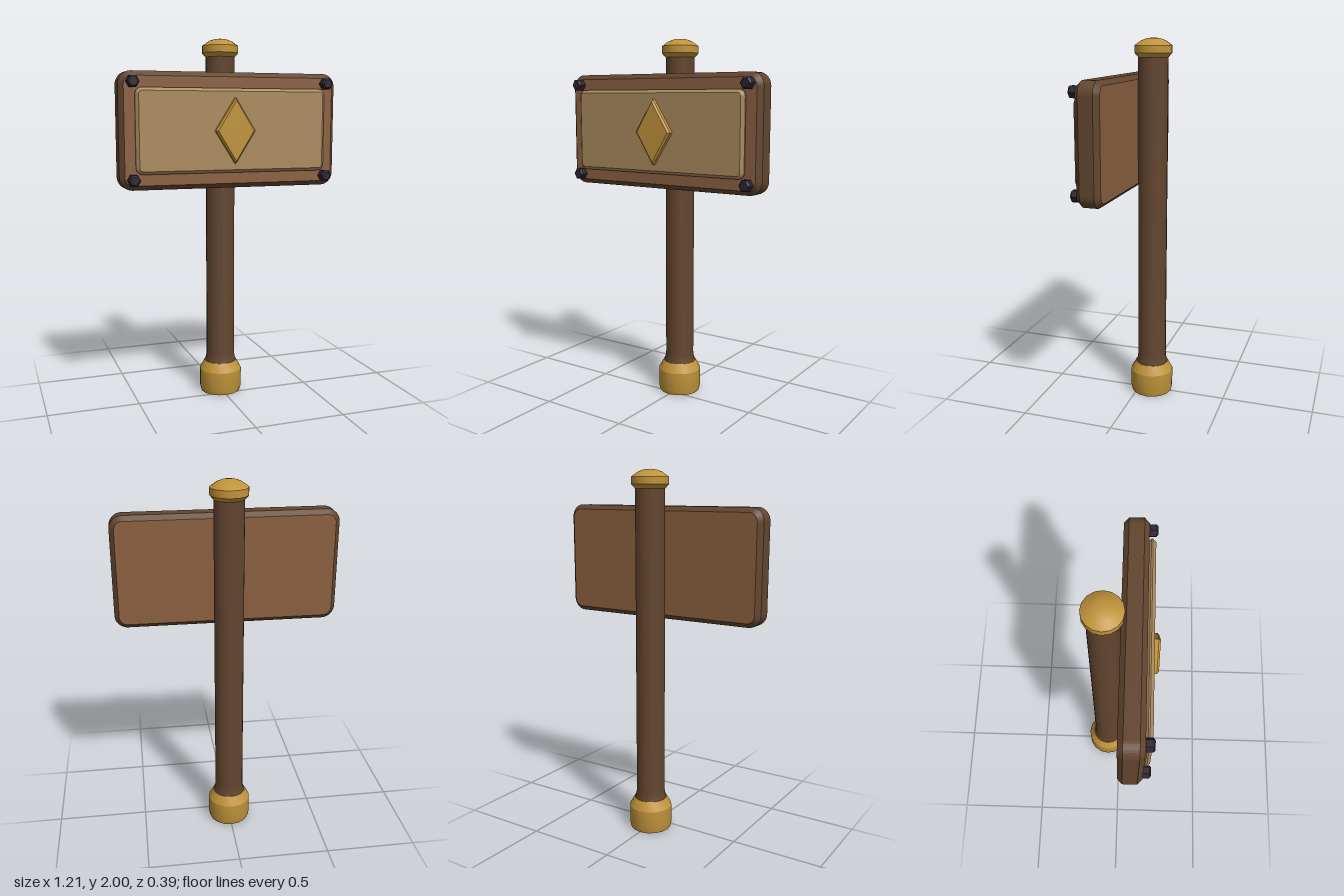
import * as THREE from 'three';
import { toCreasedNormals } from 'three/addons/utils/BufferGeometryUtils.js';

const mat = (name, color) => {
  const m = new THREE.MeshStandardMaterial({ color });
  m.name = name;
  return m;
};

// Rectangle outline with rounded corners, centred on the origin
function roundedRect(w, h, r) {
  const x = w / 2, y = h / 2, s = new THREE.Shape();
  s.absarc(x - r, y - r, r, 0, Math.PI / 2);
  s.absarc(-x + r, y - r, r, Math.PI / 2, Math.PI);
  s.absarc(-x + r, -y + r, r, Math.PI, Math.PI * 1.5);
  s.absarc(x - r, -y + r, r, Math.PI * 1.5, Math.PI * 2);
  s.closePath();
  return s;
}

// Chamfered slab from z0 to z1; the outline is the face inside the chamfer
function slab(shape, z0, z1, bevel) {
  const g = new THREE.ExtrudeGeometry(shape, {
    depth: z1 - z0 - 2 * bevel, bevelThickness: bevel, bevelSize: bevel,
    bevelSegments: 1, curveSegments: 4,
  });
  return g.translate(0, 0, z0 + bevel);
}

export function createModel() {
  const group = new THREE.Group();
  group.name = 'signpost';
  const darkWood = mat('dark wood', 0x62452f);
  const wood = mat('board wood', 0x8b6040);
  const tan = mat('pale panel wood', 0xab8a5e);
  const gold = mat('gold', 0xc0933a);
  const iron = mat('dark iron', 0x2c2432);

  const add = (name, geometry, material, x = 0, y = 0, z = 0) => {
    const m = new THREE.Mesh(geometry, material);
    m.name = name;
    m.position.set(x, y, z);
    group.add(m);
    return m;
  };
  const turned = (points) => toCreasedNormals(
    new THREE.LatheGeometry(points.map(([r, y]) => new THREE.Vector2(r, y)), 16), 0.5);

  // Post with its gold foot and domed cap
  const postZ = -0.075;
  add('post', turned([[0.092, 0.17], [0.083, 0.2], [0.08, 0.23], [0.08, 1.91]]), darkWood, 0, 0, postZ);
  add('foot', turned([[0, 0], [0.113, 0], [0.12, 0.03], [0.12, 0.13], [0.092, 0.18], [0, 0.18]]), gold, 0, 0, postZ);
  add('cap', turned([[0, 1.9], [0.08, 1.9], [0.1, 1.922], [0.1, 1.96], [0.065, 1.985], [0.035, 1.996], [0, 2]]),
    gold, 0, 0, postZ);

  // Board with pale faces and dark chamfered rim, and the raised panel
  const midY = 1.505;
  add('board', slab(roundedRect(1.16, 0.56, 0.045), 0.005, 0.13, 0.025), [wood, darkWood], 0, midY);
  add('panel', slab(roundedRect(1.02, 0.41, 0.02), 0.125, 0.165, 0.016), tan, 0, midY);

  // Diamond emblem
  const diamond = new THREE.Shape();
  diamond.moveTo(0.098, 0);
  diamond.lineTo(0, 0.158);
  diamond.lineTo(-0.098, 0);
  diamond.lineTo(0, -0.158);
  diamond.closePath();
  add('diamond', slab(diamond, 0.155, 0.195, 0.01), gold, 0, midY);

  // Six-sided bolts in the corners
  const boltShape = new THREE.Shape();
  for (let i = 0; i < 6; i++) {
    const a = i * Math.PI / 3, x = 0.024 * Math.cos(a), y = 0.024 * Math.sin(a);
    if (i) boltShape.lineTo(x, y); else boltShape.moveTo(x, y);
  }
  boltShape.closePath();
  const bolt = slab(boltShape, 0.12, 0.172, 0.008);
  for (const sx of [-1, 1]) for (const sy of [-1, 1]) {
    add('bolt', bolt, iron, sx * 0.537, midY + sy * 0.25);
  }
  return group;
}
